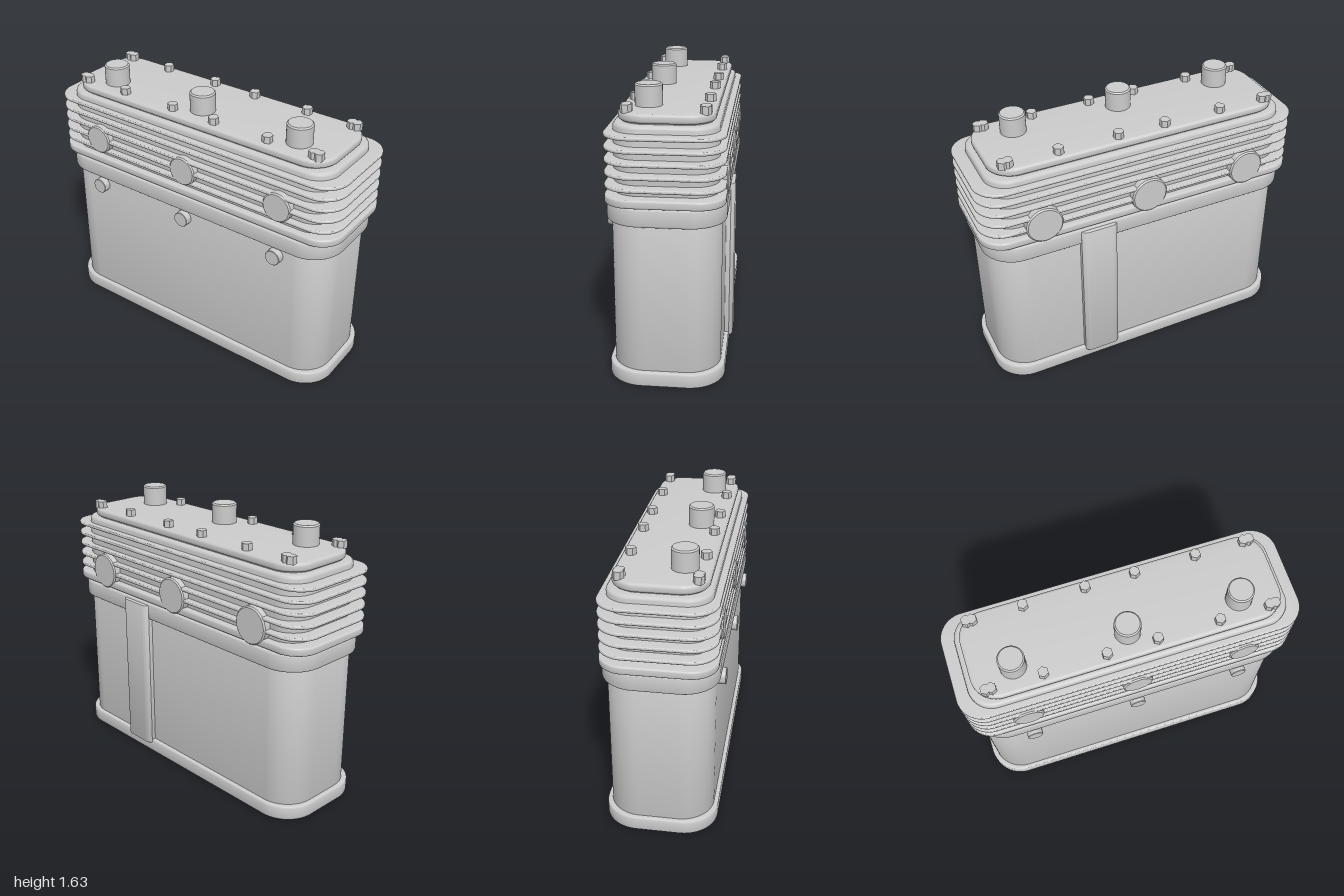
import * as THREE from 'three';
import { toCreasedNormals } from 'three/addons/utils/BufferGeometryUtils.js';

const material = new THREE.MeshStandardMaterial({ color: 0xcccccc });
const CENTRE_Z = 0.004;

// Rounded rectangle outline from half sizes and corner radius
function roundedRect(hx, hz, r) {
  const s = new THREE.Shape();
  s.absarc(hx - r, hz - r, r, 0, Math.PI / 2);
  s.absarc(r - hx, hz - r, r, Math.PI / 2, Math.PI);
  s.absarc(r - hx, r - hz, r, Math.PI, Math.PI * 1.5);
  s.absarc(hx - r, r - hz, r, Math.PI * 1.5, Math.PI * 2);
  s.closePath();
  return s;
}

export function createModel() {
  const model = new THREE.Group();

  function add(name, geometry, x = 0, y = 0, z = 0) {
    const mesh = new THREE.Mesh(geometry, material);
    mesh.name = name;
    mesh.position.set(x, y, z);
    model.add(mesh);
    return mesh;
  }

  // Horizontal slab with rounded corners and softened rims
  function slab(name, y0, y1, hx, hz, r, bevel) {
    const g = new THREE.ExtrudeGeometry(roundedRect(hx - bevel, hz - bevel, r - bevel), {
      depth: y1 - y0 - 2 * bevel, bevelThickness: bevel, bevelSize: bevel,
      bevelSegments: 3, curveSegments: 10,
    });
    g.translate(0, 0, bevel);
    g.rotateX(-Math.PI / 2);
    return add(name, toCreasedNormals(g, 0.6), 0, y0, CENTRE_Z);
  }

  // Upright or z-facing disc with a small chamfer on its outer end
  function disc(name, r, length, x, y, z, tilt = 0, chamfer = 0.008) {
    const profile = [[0, 0], [r, 0], [r, length - chamfer], [r - chamfer, length], [0, length]]
      .map(([a, b]) => new THREE.Vector2(a, b));
    const g = toCreasedNormals(new THREE.LatheGeometry(profile, 32), 0.5);
    add(name, g, x, y, z).rotation.x = tilt;
  }

  // Tank with foot and collar
  slab('foot', 0, 0.085, 0.977, 0.325, 0.2, 0.01);
  slab('tankBody', 0.07, 0.95, 0.95, 0.3, 0.19, 0.005);
  slab('collar', 0.93, 1.032, 0.977, 0.325, 0.2, 0.01);
  slab('gasket', 1.02, 1.05, 0.95, 0.3, 0.17, 0.003);

  // Head with cooling fins
  slab('headFlange', 1.038, 1.085, 1, 0.323, 0.15, 0.01);
  slab('headCore', 1.07, 1.457, 0.925, 0.283, 0.14, 0.02);
  for (let i = 0; i < 5; i++) {
    const y = 1.133 + i * 0.0685;
    slab('coolingFin', y - 0.01, y + 0.01, 1, 0.322, 0.15, 0.007);
  }

  // Top cover
  slab('coverNeck', 1.44, 1.475, 0.875, 0.245, 0.14, 0.003);
  slab('topCover', 1.462, 1.512, 0.893, 0.26, 0.15, 0.016);

  // Features repeated for each of the three sections
  const bolts = [-0.825, 0.825];
  for (const x of [-0.65, 0, 0.65]) {
    disc('topPost', 0.075, 0.13, x, 1.502, 0.115);
    disc('frontPort', 0.09, 0.08, x, 1.2, 0.25, Math.PI / 2);
    disc('rearPort', 0.11, 0.082, x, 1.14, -0.242, -Math.PI / 2);
    disc('frontPlug', 0.047, 0.047, x, 0.875, 0.302, Math.PI / 2, 0.003);
    bolts.push(x - 0.145, x + 0.145);
  }

  // Hexagonal cover bolts
  const hex = new THREE.CylinderGeometry(0.031, 0.031, 0.045, 6).toNonIndexed();
  hex.computeVertexNormals();
  for (const x of bolts) {
    for (const z of [-0.205, 0.21]) add('coverBolt', hex, x, 1.529, z);
  }

  // Rear vertical duct with sloped long edges
  const duct = new THREE.Shape();
  duct.moveTo(-0.112, 0.27);
  duct.lineTo(0.112, 0.27);
  duct.lineTo(0.112, 0.322);
  duct.quadraticCurveTo(0.098, 0.345, 0.075, 0.345);
  duct.lineTo(-0.075, 0.345);
  duct.quadraticCurveTo(-0.098, 0.345, -0.112, 0.322);
  duct.closePath();
  const ductGeometry = new THREE.ExtrudeGeometry(duct, {
    depth: 0.94, bevelThickness: 0.01, bevelSize: 0.01, bevelOffset: -0.01, bevelSegments: 2, curveSegments: 6,
  });
  ductGeometry.rotateX(-Math.PI / 2);
  add('rearDuct', toCreasedNormals(ductGeometry, 0.6), 0.326, 0.07, 0);

  return model;
}
